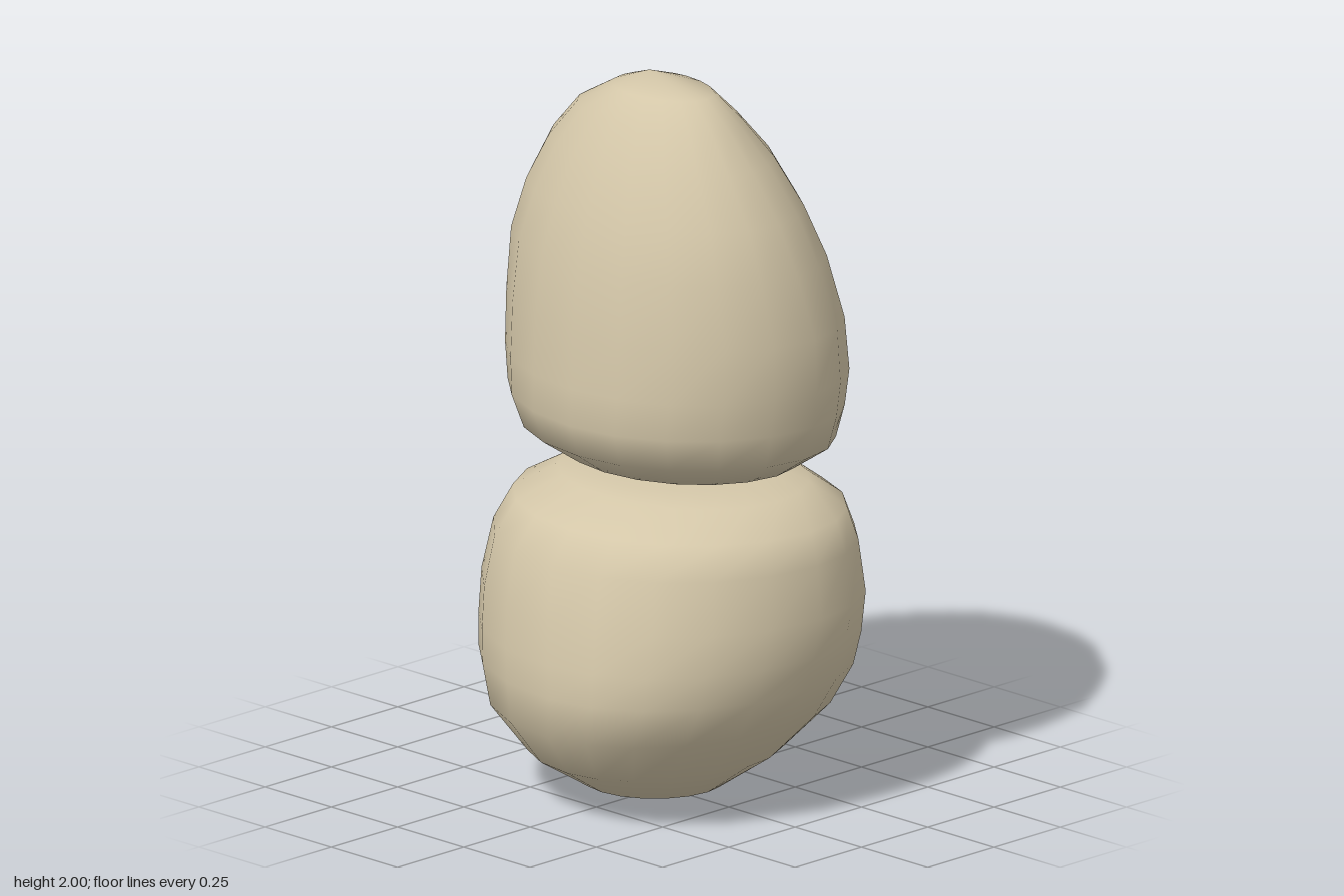
import * as THREE from 'three';

const SIDES = 20;

// Closed smooth stone: each section is [y, xMin, xMax, zMin, zMax, xCentre, zCentre],
// drawn as four quarter ellipses; the two poles are [x, y, z].
function stone(name, bottom, sections, top, material) {
  const pos = [...bottom], idx = [];
  for (const [y, x0, x1, z0, z1, cx, cz] of sections) {
    for (let j = 0; j < SIDES; j++) {
      const a = (j / SIDES) * Math.PI * 2, c = Math.cos(a), s = Math.sin(a);
      pos.push(cx + c * (c > 0 ? x1 - cx : cx - x0), y, cz + s * (s > 0 ? z1 - cz : cz - z0));
    }
  }
  pos.push(...top);
  const last = pos.length / 3 - 1;
  const at = (i, j) => 1 + i * SIDES + (j % SIDES);
  for (let j = 0; j < SIDES; j++) {
    idx.push(0, at(0, j), at(0, j + 1));
    for (let i = 0; i < sections.length - 1; i++) {
      idx.push(at(i, j), at(i + 1, j), at(i, j + 1));
      idx.push(at(i, j + 1), at(i + 1, j), at(i + 1, j + 1));
    }
    idx.push(last, at(sections.length - 1, j + 1), at(sections.length - 1, j));
  }
  const geo = new THREE.BufferGeometry();
  geo.setAttribute('position', new THREE.Float32BufferAttribute(pos, 3));
  geo.setIndex(idx);
  geo.computeVertexNormals();
  const mesh = new THREE.Mesh(geo, material);
  mesh.name = name;
  return mesh;
}

export function createModel() {
  const group = new THREE.Group();
  group.name = 'stackedStones';
  const sand = new THREE.MeshStandardMaterial({ color: 0xd3c6a8 });
  sand.name = 'sand';

  // Rounded base stone, leaning to its left towards the top
  group.add(stone('lowerStone', [-0.02, 0.003, -0.03], [
    [0.04, -0.23, 0.13, -0.18, 0.2, -0.03, 0],
    [0.14, -0.4, 0.3, -0.34, 0.34, -0.02, 0.04],
    [0.27, -0.505, 0.42, -0.46, 0.46, 0, 0.07],
    [0.38, -0.508, 0.475, -0.52, 0.515, 0.02, 0.08],
    [0.47, -0.503, 0.495, -0.53, 0.53, 0.04, 0.07],
    [0.58, -0.475, 0.505, -0.54, 0.54, 0.06, 0.04],
    [0.72, -0.44, 0.492, -0.51, 0.515, 0.07, 0.02],
    [0.81, -0.37, 0.455, -0.47, 0.49, 0.07, 0.02],
    [0.87, -0.23, 0.38, -0.36, 0.37, 0.07, 0.01],
    [0.888, -0.16, 0.3, -0.24, 0.24, 0.06, 0],
  ], [0.05, 0.895, 0.05], sand));

  // Tall domed stone with a flat underside
  group.add(stone('upperStone', [0.05, 0.93, 0.05], [
    [0.942, -0.24, 0.31, -0.33, 0.37, 0.06, 0.02],
    [1.01, -0.34, 0.41, -0.46, 0.47, 0.07, 0.02],
    [1.1, -0.37, 0.432, -0.5, 0.49, 0.08, 0.02],
    [1.2, -0.363, 0.445, -0.517, 0.502, 0.08, 0.02],
    [1.35, -0.35, 0.42, -0.513, 0.505, 0.07, 0.01],
    [1.52, -0.32, 0.385, -0.5, 0.46, 0.05, 0],
    [1.66, -0.275, 0.325, -0.45, 0.41, 0.03, -0.01],
    [1.79, -0.22, 0.265, -0.375, 0.32, 0.02, -0.02],
    [1.89, -0.155, 0.185, -0.285, 0.24, 0.01, -0.03],
    [1.96, -0.1, 0.12, -0.16, 0.155, 0.01, -0.03],
  ], [0, 2, -0.05], sand));

  return group;
}
